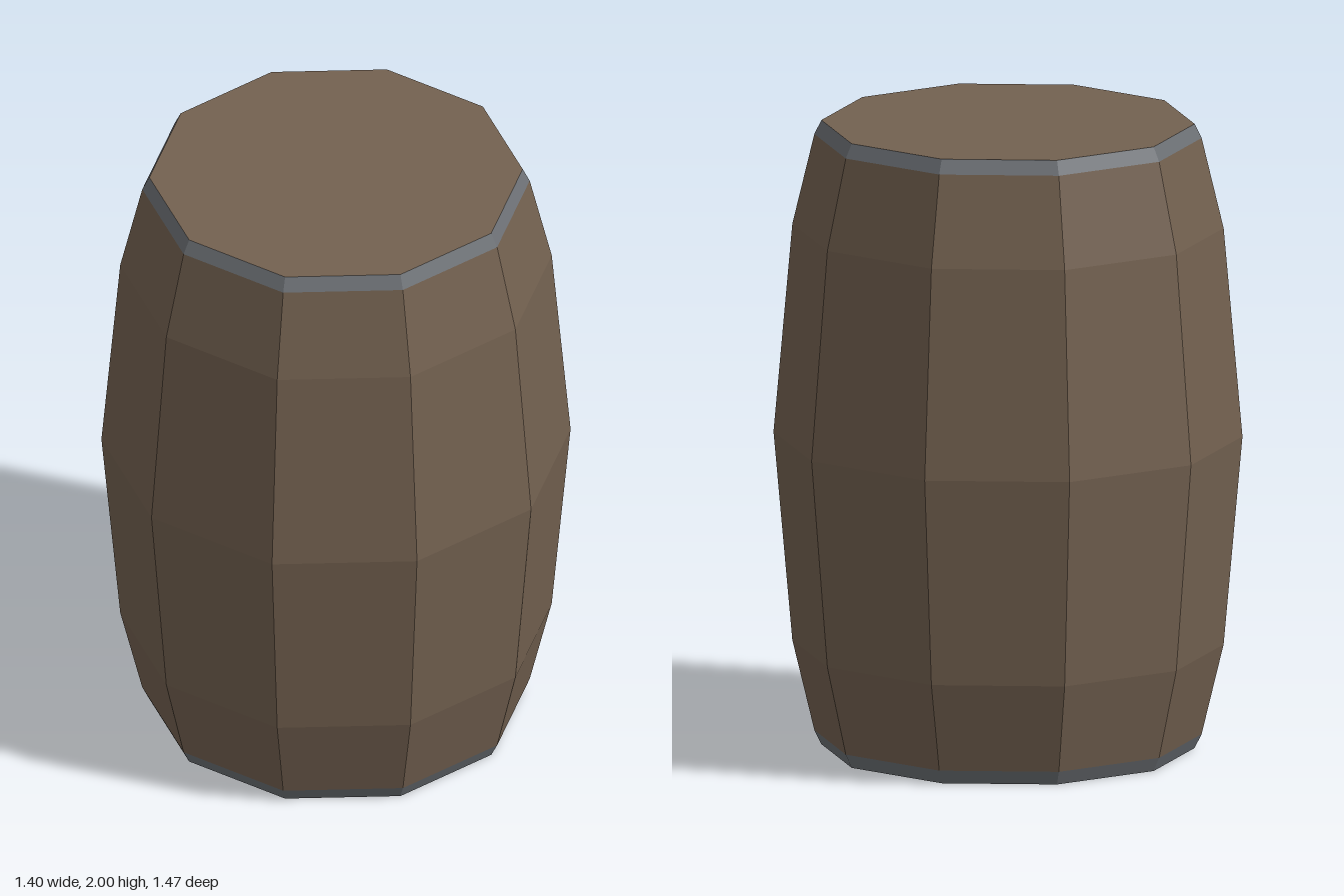
import * as THREE from 'three';

const SIDES = 10;
const RIM_R = 0.585;

export function createModel() {
  const model = new THREE.Group();
  model.name = 'barrel';

  const wood = new THREE.MeshStandardMaterial({ color: 0x736150, flatShading: true });
  const metal = new THREE.MeshStandardMaterial({ color: 0x6c7075, flatShading: true });

  const add = (name, geometry, material) => {
    const mesh = new THREE.Mesh(geometry, material);
    mesh.name = name;
    model.add(mesh);
  };
  // Ten-sided ring from [radius, height] pairs, listed bottom to top
  const ring = (profile) =>
    new THREE.LatheGeometry(profile.map(([r, y]) => new THREE.Vector2(r, y)), SIDES);
  // Flat ten-sided end, with a corner towards the front
  const disc = (y, facing) =>
    new THREE.CircleGeometry(RIM_R, SIDES, Math.PI / 2)
      .rotateX(-facing * Math.PI / 2)
      .translate(0, y, 0);

  // Bulging wooden staves
  add('staves', ring([[0.607, 0.045], [0.676, 0.333], [0.735, 1], [0.676, 1.667], [0.607, 1.955]]), wood);

  // Bevelled metal rims
  add('bottomRim', ring([[RIM_R, 0], [0.607, 0.045]]), metal);
  add('topRim', ring([[0.607, 1.955], [RIM_R, 2]]), metal);

  // Wooden ends
  add('bottomLid', disc(0, -1), wood);
  add('topLid', disc(2, 1), wood);

  return model;
}
